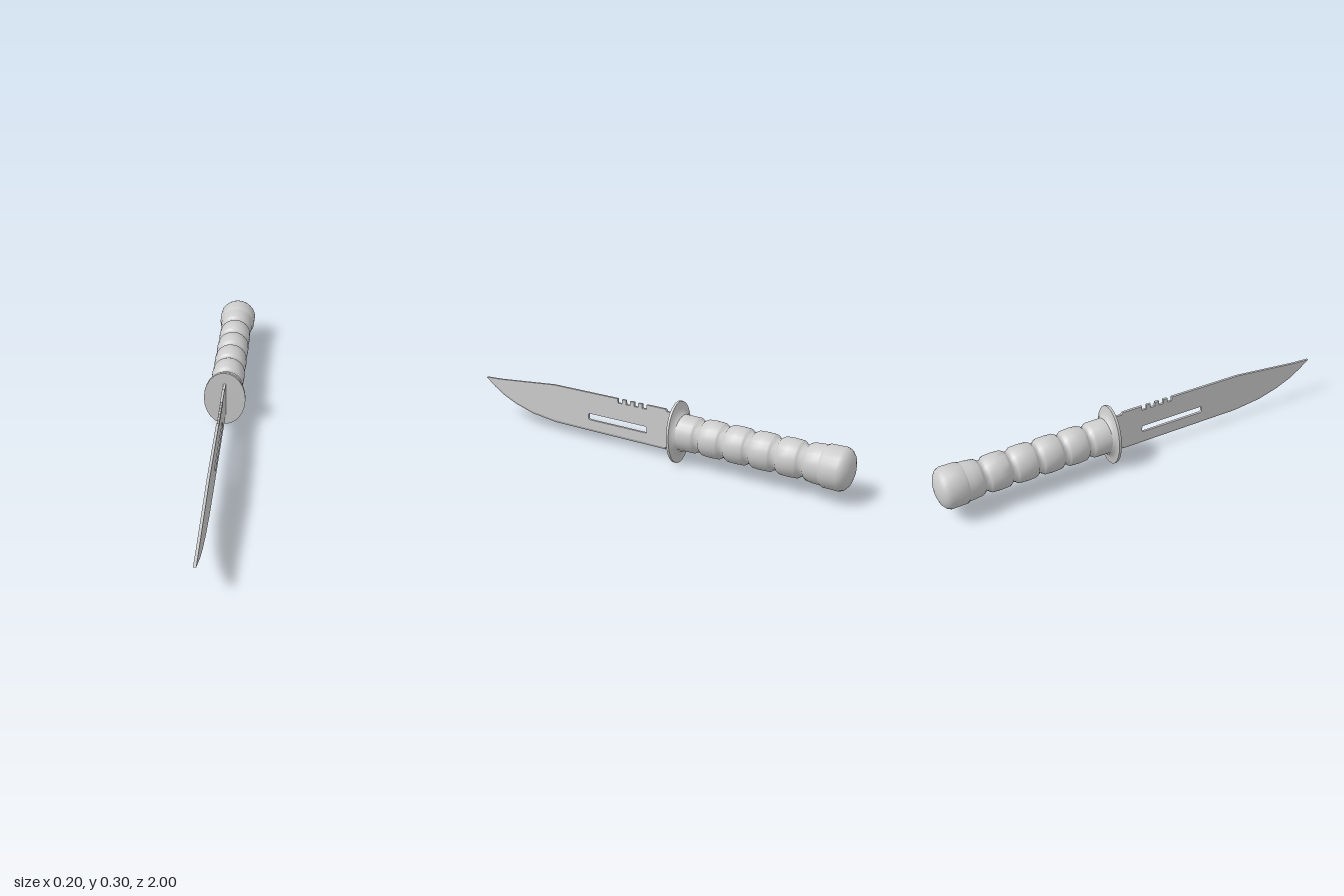
import * as THREE from 'three';
import { toCreasedNormals } from 'three/addons/utils/BufferGeometryUtils.js';

const material = new THREE.MeshStandardMaterial({ color: 0xcccccc });
const thinMaterial = new THREE.MeshStandardMaterial({ color: 0xcccccc, side: THREE.DoubleSide });
const HALF = 0.006; // half the blade thickness

// Solid along -z from elliptical sections [z, half width, half height]
function loft(name, sections, centerY, crease = 0.6) {
  const profile = sections.map(([z, , h]) => new THREE.Vector2(h, -z));
  const geo = new THREE.LatheGeometry(profile, 24);
  const pos = geo.attributes.position;
  for (let i = 0; i < pos.count; i++) {
    const [, w, h] = sections[i % sections.length];
    if (h > 0) pos.setX(i, pos.getX(i) * w / h);
  }
  geo.rotateX(-Math.PI / 2);
  geo.translate(0, centerY, 0);
  const mesh = new THREE.Mesh(toCreasedNormals(geo, crease), material);
  mesh.name = name;
  return mesh;
}

function createBlade() {
  const blade = new THREE.Group();
  blade.name = 'blade';

  // Belly of the blade from heel to tip, as (z, y)
  const belly = [[-0.1, 0.048], [0.55, 0.05], [0.7, 0.067], [0.81, 0.097], [0.89, 0.13], [0.95, 0.166], [1, 0.21]];
  const inset = belly.map(([z, y], i) => (i === belly.length - 1 ? [z, y] : [z - 0.004 * (i > 1), y + 0.012]));

  // Outline: ricasso, belly, clipped point, spine with saw notches
  const outline = [[-0.17, 0.06], [-0.1, 0.06], ...inset, [0.9, 0.215], [0.78, 0.226], [0.55, 0.247]];
  for (let i = 0; i < 4; i++) {
    const z = 0.165 - i * 0.046;
    outline.push([z, 0.247], [z, 0.226], [z - 0.024, 0.226], [z - 0.024, 0.247]);
  }
  outline.push([-0.1, 0.247], [-0.108, 0.236], [-0.17, 0.236]);
  const shape = new THREE.Shape(outline.map(([z, y]) => new THREE.Vector2(z, y)));

  // Long slot with rounded corners
  const slot = new THREE.Path();
  const [z0, z1, y0, y1, r] = [0.003, 0.34, 0.108, 0.14, 0.008];
  slot.moveTo(z0 + r, y0);
  slot.lineTo(z1 - r, y0);
  slot.quadraticCurveTo(z1, y0, z1, y0 + r);
  slot.lineTo(z1, y1 - r);
  slot.quadraticCurveTo(z1, y1, z1 - r, y1);
  slot.lineTo(z0 + r, y1);
  slot.quadraticCurveTo(z0, y1, z0, y1 - r);
  slot.lineTo(z0, y0 + r);
  slot.quadraticCurveTo(z0, y0, z0 + r, y0);
  shape.holes.push(slot);

  const geo = new THREE.ExtrudeGeometry(shape, { depth: 2 * HALF, bevelEnabled: false, curveSegments: 4 });
  geo.translate(0, 0, -HALF);
  geo.rotateY(-Math.PI / 2);
  const body = new THREE.Mesh(geo, material);
  body.name = 'bladeBody';

  // Ground cutting edge: a narrow strip on each side meeting at the belly
  const verts = [];
  for (const side of [1, -1]) {
    const x = side * HALF;
    for (let i = 0; i < belly.length - 1; i++) {
      const a = [0, belly[i][1], belly[i][0]];
      const b = [0, belly[i + 1][1], belly[i + 1][0]];
      const c = [x, inset[i + 1][1], inset[i + 1][0]];
      const d = [x, inset[i][1], inset[i][0]];
      const quad = side > 0 ? [a, d, c, a, c, b] : [a, c, d, a, b, c];
      verts.push(...quad.flat());
    }
  }
  const edgeGeo = new THREE.BufferGeometry();
  edgeGeo.setAttribute('position', new THREE.Float32BufferAttribute(verts, 3));
  edgeGeo.computeVertexNormals();
  const edge = new THREE.Mesh(edgeGeo, thinMaterial);
  edge.name = 'cuttingEdge';

  blade.add(body, edge);
  return blade;
}

export function createModel() {
  const model = new THREE.Group();
  model.name = 'knife';
  model.add(createBlade());

  // Oval guard flaring back into the grip
  model.add(loft('guard', [
    [-0.16, 0, 0], [-0.162, 0.1, 0.148], [-0.174, 0.1, 0.148],
    [-0.179, 0.092, 0.115], [-0.19, 0.083, 0.093], [-0.2, 0.079, 0.084],
  ], 0.149));

  // Grip with five ring grooves between softly bulging sections
  const grip = [[-0.18, 0.08, 0.084], [-0.2, 0.08, 0.084]];
  for (let i = 0; i < 5; i++) {
    const z = -0.294 - i * 0.124;
    if (i > 0) grip.push([z + 0.062, 0.081, 0.085]);
    grip.push(
      [z + 0.024, 0.079, 0.083], [z + 0.014, 0.074, 0.077], [z + 0.008, 0.067, 0.07],
      [z - 0.008, 0.067, 0.07], [z - 0.014, 0.074, 0.077], [z - 0.024, 0.079, 0.083],
    );
  }
  grip.push([-0.85, 0.084, 0.087], [-0.9, 0.086, 0.088]);
  model.add(loft('grip', grip, 0.153, 0.9));

  // Domed pommel
  model.add(loft('pommel', [
    [-0.87, 0.083, 0.085], [-0.888, 0.092, 0.093], [-0.955, 0.093, 0.094], [-0.972, 0.086, 0.086],
    [-0.986, 0.069, 0.069], [-0.996, 0.04, 0.04], [-1, 0, 0],
  ], 0.153));

  return model;
}
